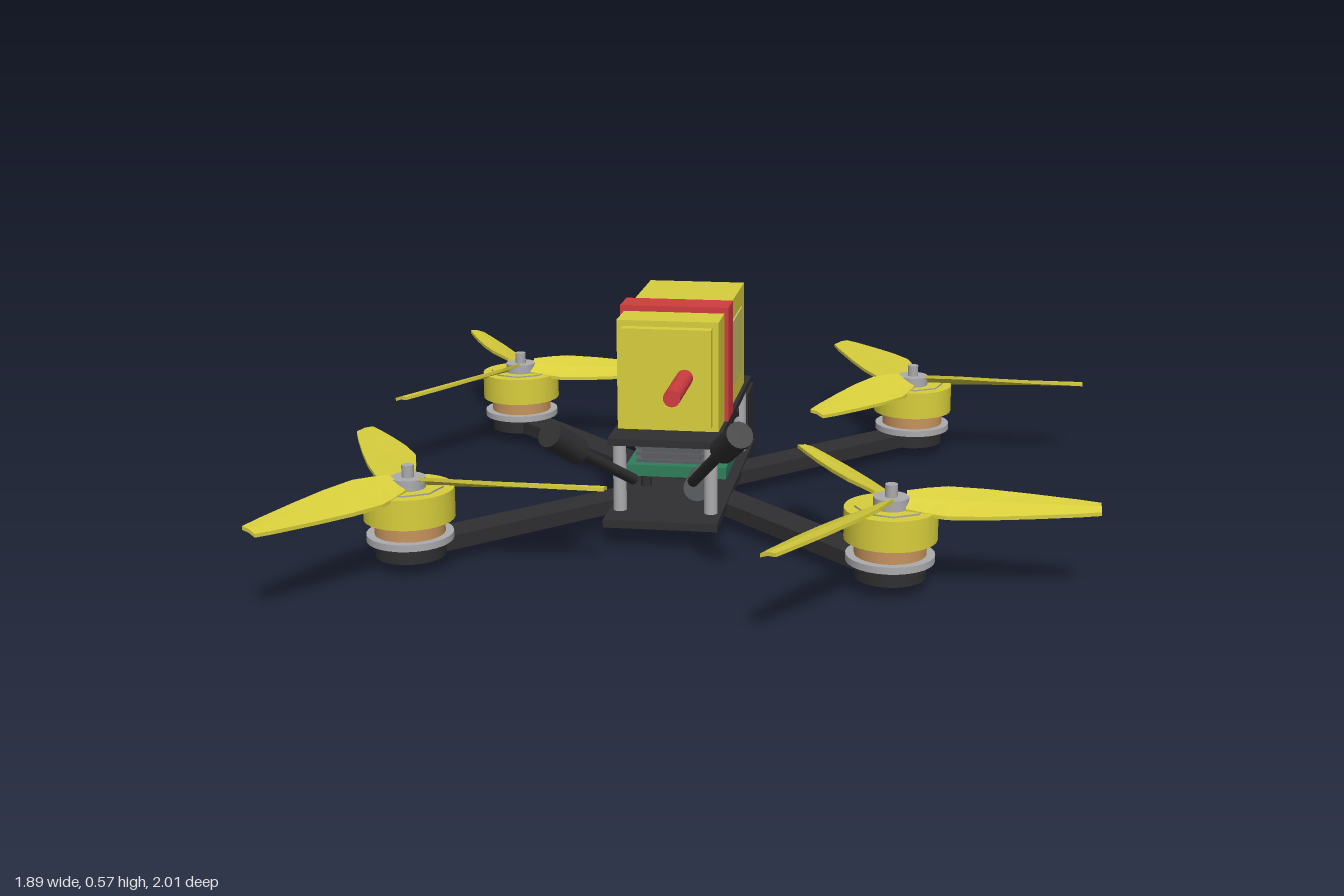
import * as THREE from 'three';

const CX = -0.115; // x of the frame centre

export function createModel() {
  const mat = (name, color) => {
    const m = new THREE.MeshStandardMaterial({ color });
    m.name = name;
    return m;
  };
  const yellow = mat('yellow', 0xd8ce3c);
  const carbon = mat('carbon', 0x2f2f31);
  const metal = mat('metal', 0xababae);
  const copper = mat('copper', 0xc6935c);
  const red = mat('red', 0xd03c40);
  const green = mat('green', 0x2f7d5b);
  const grey = mat('dark grey', 0x5c5d62);
  const label = mat('label', 0xc9c468);
  const glass = mat('glass', 0x77797c);

  const model = new THREE.Group();
  model.name = 'drone';

  const add = (parent, name, geometry, material, x = 0, y = 0, z = 0) => {
    const mesh = new THREE.Mesh(geometry, material);
    mesh.name = name;
    mesh.position.set(x, y, z);
    parent.add(mesh);
    return mesh;
  };
  const box = (parent, name, material, w, h, d, x, y, z) =>
    add(parent, name, new THREE.BoxGeometry(w, h, d), material, x, y, z);
  // Upright cylinder given by its bottom and top heights
  const post = (parent, name, material, r, y0, y1, x = 0, z = 0, sides = 28) =>
    add(parent, name, new THREE.CylinderGeometry(r, r, y1 - y0, sides), material, x, (y0 + y1) / 2, z);
  // Cylinder between two points
  const rod = (parent, name, material, r, a, b, sides = 14) => {
    const p = new THREE.Vector3(...a), q = new THREE.Vector3(...b);
    const mesh = add(parent, name, new THREE.CylinderGeometry(r, r, p.distanceTo(q), sides), material);
    mesh.position.copy(p).add(q).multiplyScalar(0.5);
    mesh.quaternion.setFromUnitVectors(new THREE.Vector3(0, 1, 0), q.sub(p).normalize());
    return mesh;
  };

  // Twisted, tapered propeller blade along +x; spin is +1 or -1
  const stations = [[0.035, 0.028], [0.08, 0.04], [0.13, 0.051], [0.22, 0.05], [0.32, 0.042], [0.43, 0.029], [0.48, 0.021]];
  const bladeGeometry = (spin) => {
    const n = stations.length - 1;
    const g = new THREE.BoxGeometry(1, 1, 1, n, 1, 2);
    const p = g.attributes.position;
    for (let i = 0; i < p.count; i++) {
      const t = p.getX(i) + 0.5;
      const [r, half] = stations[Math.round(t * n)];
      const z = p.getZ(i) * 2 * half;
      const pitch = 0.46 - 0.24 * t;
      const camber = p.getZ(i) === 0 ? 0.003 : 0;
      p.setXYZ(i, r, p.getY(i) * 0.009 - spin * z * Math.tan(pitch) + camber, z);
    }
    const flat = g.toNonIndexed();
    flat.computeVertexNormals();
    return flat;
  };
  const blades = { 1: bladeGeometry(1), '-1': bladeGeometry(-1) };

  // Four arms, each with a motor and a three-bladed propeller
  const D = 0.577;
  for (const sx of [-1, 1]) for (const sz of [-1, 1]) {
    const arm = new THREE.Group();
    arm.name = 'arm';
    arm.position.set(CX + sx * D, 0, sz * D);
    model.add(arm);
    const beam = box(arm, 'armBeam', carbon, D * Math.SQRT2, 0.036, 0.085, -sx * D / 2, 0.051, -sz * D / 2);
    beam.rotation.y = -Math.atan2(sz, sx);
    post(arm, 'armEnd', carbon, 0.085, 0.032, 0.071);

    post(arm, 'motorBase', metal, 0.105, 0.071, 0.088);
    post(arm, 'motorWinding', copper, 0.085, 0.088, 0.125);
    post(arm, 'motorBell', yellow, 0.11, 0.125, 0.2);
    for (let k = 0; k < 3; k++) {
      const lobe = new THREE.CylinderGeometry(0.085, 0.085, 0.004, 8, 1, -Math.PI / 2 - 0.45 + k * Math.PI * 2 / 3, 0.9);
      add(arm, 'bellTopPlate', lobe, metal, 0, 0.202, 0);
    }
    post(arm, 'propellerHub', metal, 0.042, 0.2, 0.226);
    post(arm, 'motorShaft', metal, 0.015, 0.22, 0.256, 0, 0, 14);
    for (let k = 0; k < 3; k++) {
      const blade = add(arm, 'propellerBlade', blades[sx * sz], yellow, 0, 0.215, 0);
      blade.rotation.y = k * Math.PI * 2 / 3;
    }
  }

  // Frame plates, centre bolt and standoffs
  box(model, 'bottomPlate', carbon, 0.285, 0.02, 0.78, CX, 0.065, 0);
  box(model, 'topPlate', carbon, 0.275, 0.018, 0.68, CX, 0.261, 0);
  post(model, 'centreBoltHead', carbon, 0.053, 0, 0.05, CX, 0);
  post(model, 'centreBolt', carbon, 0.03, 0.05, 0.096, CX, 0);
  for (const s of [-1, 1]) for (const z of [-0.265, 0.3]) {
    post(model, 'standoff', metal, 0.017, 0.07, 0.255, CX + s * 0.115, z, 16);
  }

  // Circuit boards, finned transmitter and capacitor
  box(model, 'lowerBoard', green, 0.26, 0.03, 0.26, CX, 0.126, 0);
  box(model, 'upperBoard', green, 0.22, 0.02, 0.23, CX, 0.19, 0);
  for (const sx of [-1, 1]) for (const sz of [-1, 1]) {
    post(model, 'boardSpacer', carbon, 0.014, 0.075, 0.19, CX + sx * 0.085, sz * 0.09, 10);
  }
  box(model, 'transmitter', grey, 0.15, 0.06, 0.17, CX, 0.208, 0.13);
  for (let i = 0; i < 4; i++) {
    box(model, 'transmitterFin', grey, 0.175, 0.008, 0.18, CX, 0.18 + i * 0.018, 0.13);
  }
  rod(model, 'capacitor', grey, 0.034, [CX + 0.075, 0.128, 0.18], [CX + 0.075, 0.128, 0.27], 20);

  // Tilted camera looking backwards between two side plates
  for (const s of [-1, 1]) {
    box(model, 'cameraMount', carbon, 0.022, 0.165, 0.13, CX + s * 0.126, 0.152, -0.337);
  }
  const camera = new THREE.Group();
  camera.name = 'camera';
  camera.position.set(CX, 0.165, -0.325);
  camera.rotation.x = 0.55;
  model.add(camera);
  box(camera, 'cameraBody', carbon, 0.23, 0.14, 0.12, 0, 0, 0);
  rod(camera, 'lensBarrel', carbon, 0.053, [0, 0.01, -0.05], [0, 0.01, -0.125], 24);
  rod(camera, 'lensGlass', glass, 0.041, [0, 0.01, -0.12], [0, 0.01, -0.129], 24);

  // Two antennas leaning outward
  const antennas = [
    [[-0.19, 0.165, 0.33], [-0.28, 0.3, 0.56], [-0.328, 0.364, 0.645]],
    [[-0.04, 0.165, 0.33], [0.075, 0.335, 0.625], [0.125, 0.398, 0.71]],
  ];
  for (const [base, neck, tip] of antennas) {
    rod(model, 'antennaRod', carbon, 0.014, base, neck);
    rod(model, 'antennaCap', carbon, 0.032, neck, tip, 18);
  }

  // Battery with stepped ends, side labels, strap and power lead
  box(model, 'batteryCore', yellow, 0.225, 0.25, 0.554, CX, 0.411, 0);
  box(model, 'batteryBody', yellow, 0.256, 0.28, 0.5, CX, 0.411, 0);
  for (const s of [-1, 1]) {
    box(model, 'batteryLabel', label, 0.006, 0.175, 0.195, CX + s * 0.129, 0.412, -0.083);
  }
  box(model, 'batteryStrap', red, 0.276, 0.296, 0.09, CX, 0.418, 0.1);
  rod(model, 'powerLead', red, 0.021, [-0.068, 0.415, 0.27], [-0.068, 0.415, 0.48], 18);

  return model;
}
